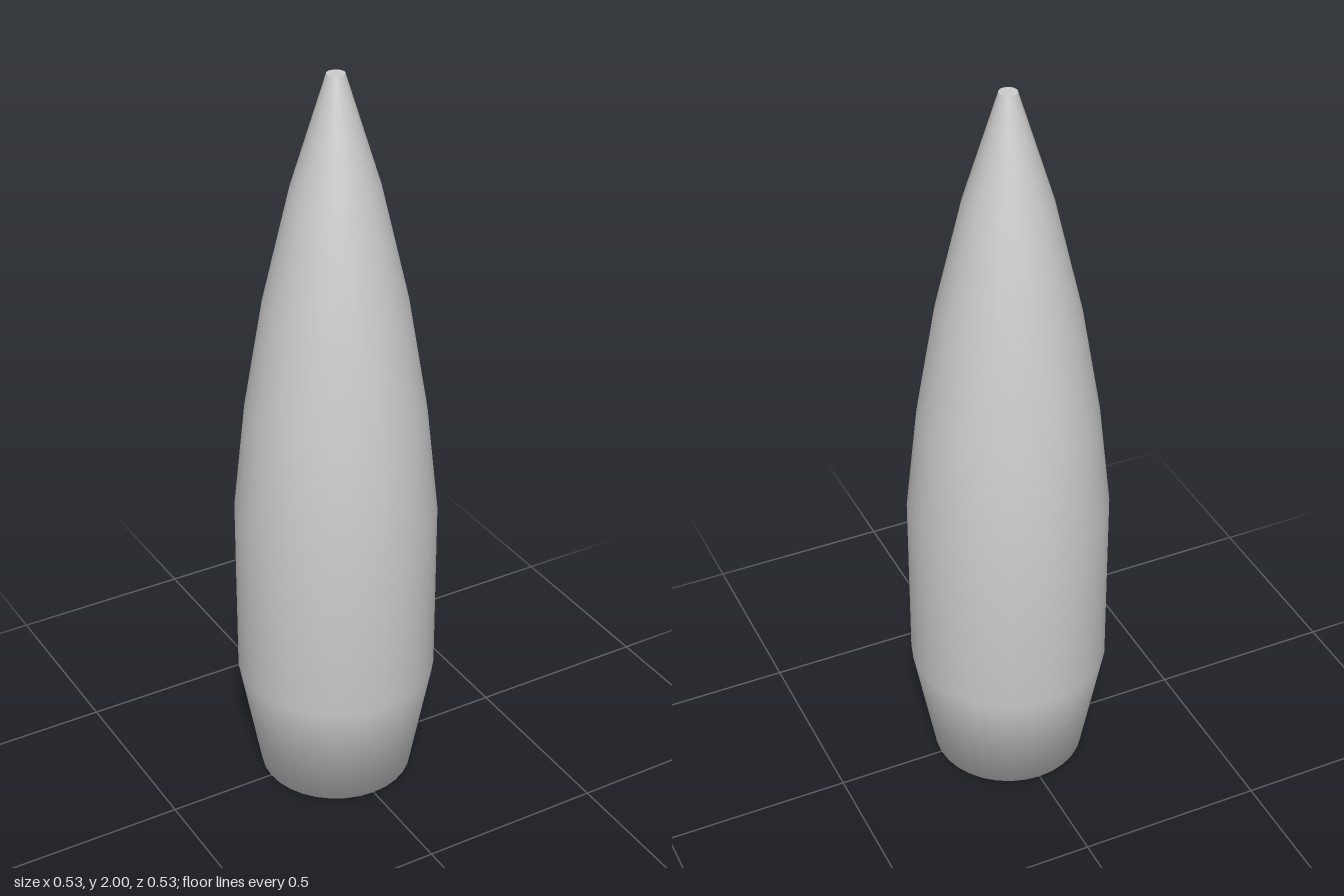
import * as THREE from 'three';

const SIDES = 32;

export function createModel() {
  const group = new THREE.Group();
  group.name = 'projectile';
  const material = new THREE.MeshStandardMaterial({ color: 0xcccccc });

  // Turned body: closed base, tapered tail, straight shank, curved nose
  const profile = [
    [0, 0], [0.205, 0], [0.265, 0.325], [0.265, 0.81],
    [0.234, 1.1], [0.184, 1.4], [0.112, 1.71], [0.023, 2],
  ].map(([r, y]) => new THREE.Vector2(r, y));
  const body = new THREE.Mesh(new THREE.LatheGeometry(profile, SIDES), material);
  body.name = 'body';
  group.add(body);

  // Small flat tip with a crisp edge
  const tip = new THREE.Mesh(new THREE.CircleGeometry(0.023, SIDES).rotateX(-Math.PI / 2), material);
  tip.name = 'flatTip';
  tip.position.y = 2;
  group.add(tip);

  return group;
}
